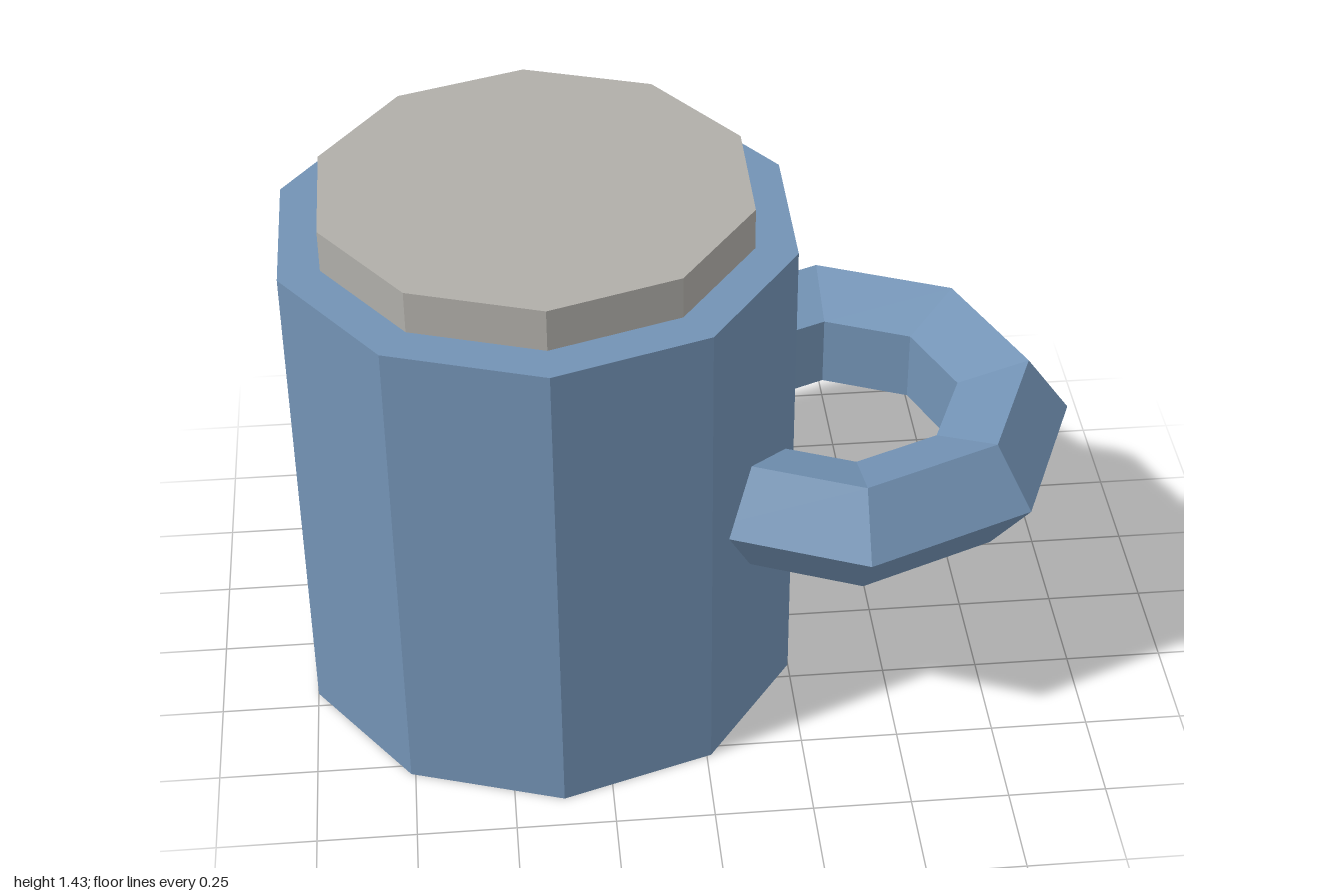
import * as THREE from 'three';

const material = (color) => new THREE.MeshStandardMaterial({ color, flatShading: true });

export function createModel() {
  const model = new THREE.Group();
  model.name = 'mug';
  const blue = material(0x7393b5);
  const grey = material(0xb0aea9);

  const add = (name, geometry, mat, x, y) => {
    const mesh = new THREE.Mesh(geometry, mat);
    mesh.name = name;
    mesh.position.set(x, y, 0);
    model.add(mesh);
  };

  // Ten-sided body and the smaller disc on top of it
  const axisX = -0.375, bodyHeight = 1.32, lidHeight = 0.11;
  add('body', new THREE.CylinderGeometry(0.657, 0.657, bodyHeight, 10), blue, axisX, bodyHeight / 2);
  add('lid', new THREE.CylinderGeometry(0.55, 0.55, lidHeight, 10), grey, axisX, bodyHeight + lidHeight / 2);

  // Horizontal ring handle: eight segments, five-sided tube, sunk into the body
  add('handle', new THREE.TorusGeometry(0.44, 0.164, 5, 8).rotateX(Math.PI / 2), blue, 0.395, 0.66);

  return model;
}
